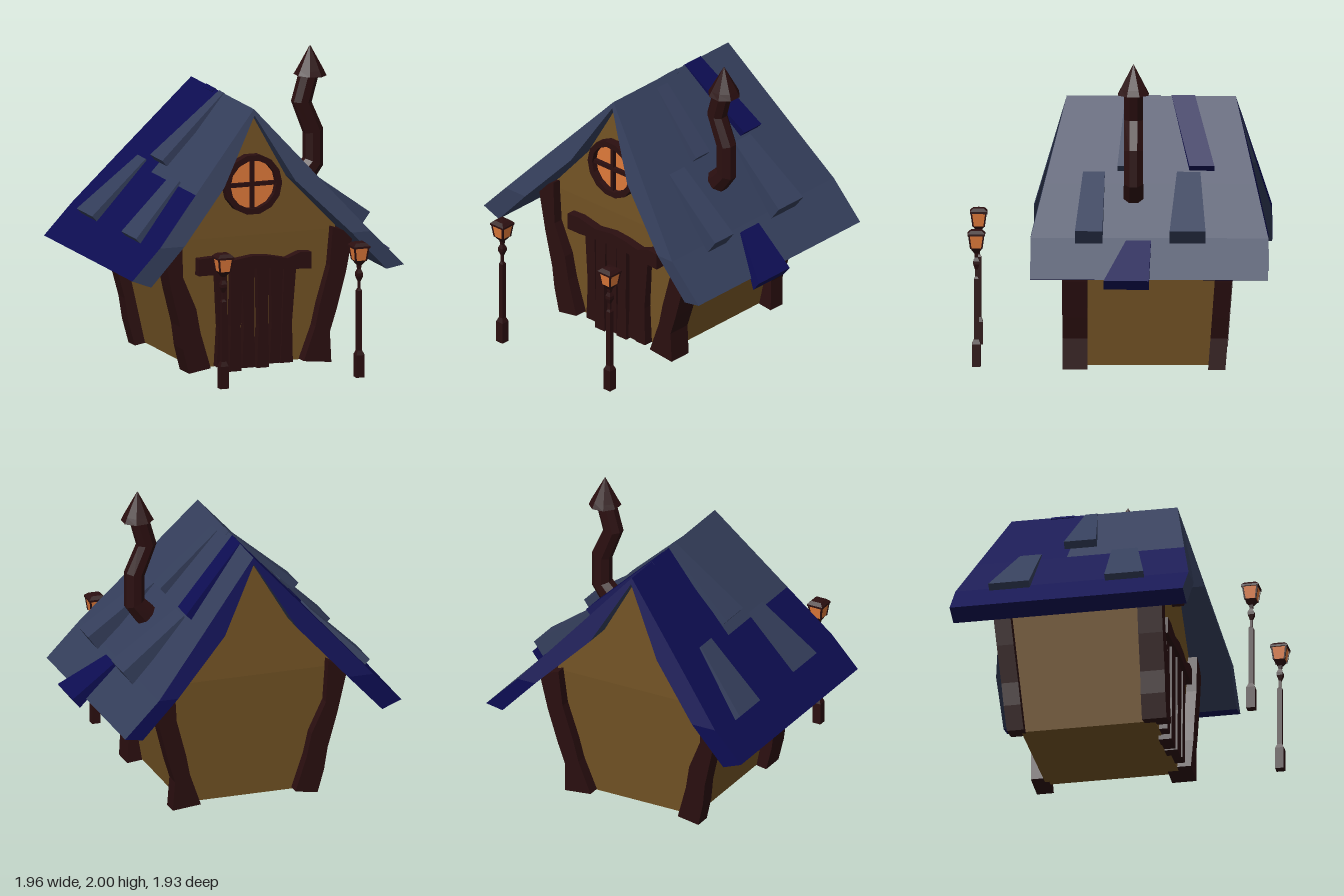
import * as THREE from 'three';

const V = (x, y, z) => new THREE.Vector3(x, y, z);
const mat = (name, color, side = THREE.FrontSide) => {
  const m = new THREE.MeshStandardMaterial({ color, side });
  m.name = name;
  return m;
};

// Flat-shaded geometry from a list of triangles
function fromTriangles(tris) {
  const g = new THREE.BufferGeometry().setFromPoints(tris.flat());
  g.computeVertexNormals();
  return g;
}

// Closed solid through equal-sized rings of points, always facing outwards
function loft(rings) {
  const tris = [], n = rings[0].length;
  for (let i = 0; i + 1 < rings.length; i++) {
    for (let j = 0; j < n; j++) {
      const k = (j + 1) % n, a = rings[i], b = rings[i + 1];
      tris.push([a[j], a[k], b[k]], [a[j], b[k], b[j]]);
    }
  }
  const cap = (r, end) => {
    const c = r.reduce((s, p) => s.add(p), V(0, 0, 0)).divideScalar(n);
    r.forEach((p, j) => tris.push(end ? [c, p, r[(j + 1) % n]] : [c, r[(j + 1) % n], p]));
  };
  cap(rings[0], false);
  cap(rings[rings.length - 1], true);
  const volume = tris.reduce((s, [a, b, c]) => s + a.dot(b.clone().cross(c)), 0);
  if (volume < 0) tris.forEach(t => t.reverse());
  return fromTriangles(tris);
}

const rect = (x0, x1, y, z0, z1) => [V(x0, y, z0), V(x1, y, z0), V(x1, y, z1), V(x0, y, z1)];

function flat(g) {
  const f = g.index ? g.toNonIndexed() : g;
  f.computeVertexNormals();
  return f;
}

export function createModel() {
  const root = new THREE.Group();
  root.name = 'cottage';
  const plaster = mat('plaster', 0x745425);
  const wood = mat('darkWood', 0x2b0f10);
  const slate = mat('slate', 0x343e5b, THREE.DoubleSide);
  const navy = mat('navy', 0x0d0d52, THREE.DoubleSide);
  const glow = mat('glow', 0xe07a3a);
  const add = (name, geo, m, parent = root) => {
    const mesh = new THREE.Mesh(geo, m);
    mesh.name = name;
    parent.add(mesh);
    return mesh;
  };

  // Walls flare upwards, then a gable that follows the underside of the roof
  add('walls', loft([rect(-0.44, 0.37, 0.035, 0.27, -0.6), rect(-0.61, 0.52, 0.88, 0.3, -0.68)]), plaster);
  const gable = [[-0.61, 0.88], [0.52, 0.88], [0.52, 0.9], [0.18, 1.25], [-0.055, 1.67], [-0.31, 1.24], [-0.61, 0.9]];
  add('gable', loft([0.3, -0.68].map(z => gable.map(([x, y]) => V(x, y, z)))), plaster);

  // Roof: ends flare outwards towards the eaves
  const flare = y => 0.22 * Math.min(1, (1.71 - y) / 0.81);
  const front = ([x, y]) => V(x, y, 0.34 + flare(y));
  const back = ([x, y]) => V(x, y, -0.74 - flare(y));
  const quads = { slate: [], navy: [] };
  const quad = (key, a, b, c, d) => quads[key].push([a, b, c], [a, c, d]);
  const slopes = [
    { outer: [[-0.055, 1.71], [0.385, 1.21], [0.66, 0.9], [0.89, 0.665]],
      inner: [[-0.055, 1.67], [0.18, 1.25], [0.53, 0.9], [0.77, 0.645]], left: true },
    { outer: [[-0.055, 1.71], [-0.51, 1.21], [-0.79, 0.9], [-0.98, 0.7]],
      inner: [[-0.055, 1.67], [-0.31, 1.24], [-0.62, 0.9], [-0.85, 0.65]], left: false },
  ];
  for (const { outer: o, inner: n, left } of slopes) {
    for (let i = 0; i < 3; i++) {
      const j = i + 1;
      quad('slate', front(o[i]), front(o[j]), front(n[j]), front(n[i]));
      quad('navy', back(o[i]), back(n[i]), back(n[j]), back(o[j]));
      quad('slate', front(n[i]), front(n[j]), back(n[j]), back(n[i]));
      if (left) {
        quad('slate', front(o[i]), back(o[i]), back(o[j]), front(o[j]));
      } else if (i > 0) {
        quad('navy', front(o[i]), front(o[j]), back(o[j]), back(o[i]));
      } else {
        // Two-coloured upper part
        const a = V(...o[0], -0.26), b = V(...o[1], -0.29);
        quad('slate', front(o[0]), front(o[1]), b, a);
        quad('navy', a, b, back(o[1]), back(o[0]));
      }
    }
    quad('navy', front(o[3]), back(o[3]), back(n[3]), front(n[3]));
  }
  add('roofSlate', fromTriangles(quads.slate), slate);
  add('roofNavy', fromTriangles(quads.navy), navy);

  // Loose shingles: [material, upper x, y, z0, z1, lower x, y, z0, z1, thickness of lower end]
  const shingles = [
    [slate, 0.34, 1.28, -0.52, -0.37, 0.765, 0.96, -0.56, -0.33, 0.11],
    [slate, 0.33, 1.28, 0.09, 0.23, 0.77, 0.96, 0.1, 0.275, 0.11],
    [navy, -0.055, 1.715, -0.48, -0.33, 0.355, 1.32, -0.61, -0.45, 0.06],
    [slate, -0.02, 1.675, -0.13, -0.03, 0.36, 1.32, -0.12, 0.01, 0.06],
    [navy, 0.7, 0.89, -0.21, -0.05, 0.98, 0.67, -0.2, 0.09, 0.08],
    [slate, -0.48, 1.26, -0.6, -0.46, -0.845, 0.91, -0.735, -0.47, 0.06],
    [slate, -0.5, 1.24, 0.0, 0.17, -0.84, 0.91, 0.02, 0.275, 0.06],
    [slate, -0.055, 1.715, -0.26, -0.18, -0.51, 1.32, -0.31, -0.1, 0.05],
  ];
  for (const [m, ux, uy, u0, u1, lx, ly, l0, l1, t] of shingles) {
    const len = Math.hypot(lx - ux, ly - uy), s = Math.sign(lx - ux);
    const nx = s * (uy - ly) / len, ny = Math.abs(lx - ux) / len;
    const ring = (x, y, z0, z1, d) => [V(x, y, z0), V(x, y, z1),
      V(x - nx * d, y - ny * d, z1), V(x - nx * d, y - ny * d, z0)];
    add('shingle', loft([ring(ux, uy, u0, u1, 0.03), ring(lx, ly, l0, l1, t)]), m);
  }

  // Crooked corner posts: [outer x, outer y, inner x, inner y] from the ground up
  const rightPost = [[-0.51, 0.02, -0.36, 0.045], [-0.55, 0.18, -0.43, 0.28], [-0.57, 0.33, -0.46, 0.44],
    [-0.63, 0.57, -0.55, 0.65], [-0.69, 0.87, -0.56, 0.94]];
  const leftPost = [[0.47, 0.02, 0.28, 0.04], [0.46, 0.22, 0.36, 0.26], [0.505, 0.36, 0.39, 0.4],
    [0.57, 0.6, 0.46, 0.65], [0.62, 0.85, 0.48, 0.9]];
  for (const post of [rightPost, leftPost]) {
    const rings = (z0, z1, lean) => post.map(([xo, yo, xi, yi]) => [V(xo, yo, z0 - lean * yo),
      V(xi, yi, z0 - lean * yi), V(xi, yi, z1 - lean * yi), V(xo, yo, z1 - lean * yo)]);
    add('frontPost', loft(rings(0.36, 0.2, 0)), wood);
    add('backPost', loft(rings(-0.57, -0.68, 0.075)), wood);
  }

  // Door planks: [left x, right x, bottom y, sideways lean, front z]
  const planks = [[-0.305, -0.222, 0.04, -0.012, 0.325], [-0.222, -0.138, 0.005, 0.012, 0.335],
    [-0.13, -0.04, 0.02, -0.004, 0.325], [-0.032, 0.052, 0.015, 0.0, 0.335],
    [0.06, 0.145, 0.035, 0.008, 0.325], [0.13, 0.215, 0.035, 0.025, 0.335]];
  for (const [x0, x1, y, lean, z] of planks) {
    add('doorPlank', loft([rect(x0, x1, y, 0.25, z), rect(x0 + 0.012, x1 - 0.006, 0.3, 0.25, z),
      rect(x0 + lean, x1 + lean, 0.68, 0.25, z)]), wood);
  }

  // Wavy lintel: [x, bottom y, top y]
  const lintel = [[-0.44, 0.65, 0.76], [-0.34, 0.65, 0.765], [-0.2, 0.66, 0.735], [-0.06, 0.67, 0.755],
    [0.05, 0.665, 0.745], [0.17, 0.65, 0.72], [0.26, 0.645, 0.755], [0.335, 0.64, 0.75]];
  add('lintel', loft(lintel.map(([x, y0, y1]) => [V(x, y0, 0.26), V(x, y1, 0.26), V(x, y1, 0.355), V(x, y0, 0.355)])), wood);

  // Round window with cross bars
  const win = new THREE.Group();
  win.name = 'window';
  win.position.set(-0.065, 1.22, 0.28);
  root.add(win);
  const circle = (r, Type) => new Type(Array.from({ length: 14 }, (_, i) =>
    new THREE.Vector2(r * Math.cos(i * Math.PI / 7), r * Math.sin(i * Math.PI / 7))));
  const ring = circle(0.197, THREE.Shape);
  ring.holes.push(circle(0.158, THREE.Path));
  add('windowFrame', new THREE.ExtrudeGeometry(ring, { depth: 0.08, bevelEnabled: false }), wood, win);
  add('windowPane', new THREE.CircleGeometry(0.165, 14), glow, win).position.z = 0.04;
  add('windowBar', new THREE.BoxGeometry(0.024, 0.33, 0.03), wood, win).position.z = 0.05;
  add('windowBar', new THREE.BoxGeometry(0.33, 0.026, 0.03), wood, win).position.z = 0.05;

  // Crooked chimney pipe with a conical cap
  const octagon = (x, y, r, tilt = 0) => Array.from({ length: 8 }, (_, i) => {
    const a = (i + 0.5) * Math.PI / 4, dx = r * Math.cos(a);
    return V(x + dx, y + dx * tilt, -0.095 + r * Math.sin(a));
  });
  add('chimneyPipe', loft([octagon(0.44, 1.14, 0.07, -0.6), octagon(0.525, 1.24, 0.066, -0.4),
    octagon(0.525, 1.44, 0.066, 0.2), octagon(0.445, 1.635, 0.066, -0.05), octagon(0.5, 1.83, 0.066)]), wood);
  add('chimneyCap', loft([octagon(0.505, 1.805, 0.106, -0.05), octagon(0.505, 1.84, 0.088),
    octagon(0.505, 2.0, 0.001)]), wood);

  // Street lamps: square lathed sections [half width, y]
  const square = pts => flat(new THREE.LatheGeometry(
    pts.map(([h, y]) => new THREE.Vector2(h * Math.SQRT2, y)), 4, Math.PI / 4));
  const pole = square([[0, 0.035], [0.028, 0.035], [0.028, 0.18], [0.016, 0.21], [0.016, 0.6], [0.008, 0.615],
    [0.008, 0.66], [0.02, 0.695], [0.02, 0.715], [0.01, 0.74], [0.013, 0.765], [0.037, 0.8], [0, 0.8]]);
  const glass = square([[0.036, 0.8], [0.048, 0.885]]);
  const cap = square([[0, 0.882], [0.056, 0.882], [0.056, 0.895], [0.035, 0.915], [0, 0.922]]);
  for (const x of [-0.495, 0.44]) {
    const lamp = new THREE.Group();
    lamp.name = 'lamp';
    lamp.position.set(x, 0, 0.91);
    root.add(lamp);
    add('lampPole', pole, wood, lamp);
    add('lampGlass', glass, glow, lamp);
    add('lampCap', cap, wood, lamp);
    // Corner struts of the lantern
    for (const sx of [-1, 1]) for (const sz of [-1, 1]) {
      const strut = (h, y) => rect(sx * h - 0.005, sx * h + 0.005, y, sz * h - 0.005, sz * h + 0.005);
      add('lampStrut', loft([strut(0.035, 0.798), strut(0.047, 0.886)]), wood, lamp);
    }
  }
  return root;
}
